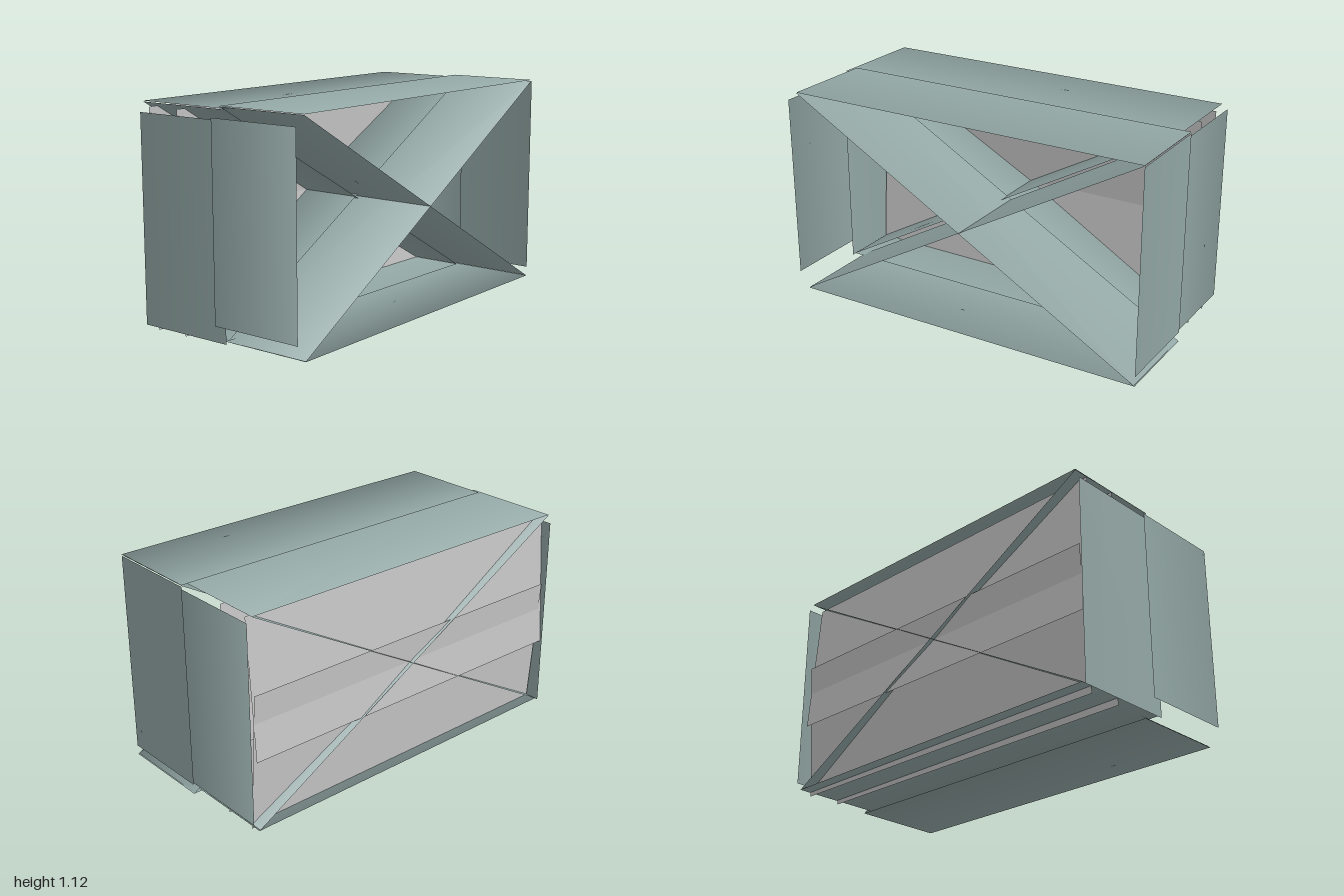
import * as THREE from 'three';

const sheetTeal = new THREE.MeshStandardMaterial({ color: 0x92a7a5, side: THREE.DoubleSide });
sheetTeal.name = 'sheetTeal';
const panelGrey = new THREE.MeshStandardMaterial({ color: 0xc6c6c6, side: THREE.DoubleSide });
panelGrey.name = 'panelGrey';

// A flat sheet running in depth from zIn to zOut above the line a-b.
// Its normals lean towards the outer edge for a soft rolled look.
function depthSheet(name, a, b, zIn, zOut) {
  const out = Math.sign(zOut - zIn);
  const n = new THREE.Vector3(a[1] - b[1], b[0] - a[0], 0).normalize();
  const lean = n.clone().add(new THREE.Vector3(0, 0, out)).normalize();
  const geo = new THREE.BufferGeometry();
  geo.setAttribute('position', new THREE.Float32BufferAttribute(
    [...a, zIn, ...b, zIn, ...b, zOut, ...a, zOut], 3));
  geo.setAttribute('normal', new THREE.Float32BufferAttribute(
    [n, n, lean, lean].flatMap(v => v.toArray()), 3));
  geo.setIndex(out > 0 ? [0, 2, 1, 0, 3, 2] : [0, 1, 2, 0, 2, 3]);
  const mesh = new THREE.Mesh(geo, sheetTeal);
  mesh.name = name;
  return mesh;
}

// A wide panel that leans slightly in depth between two heights.
function crossPanel(name, x0, x1, y0, z0, y1, z1) {
  const geo = new THREE.BufferGeometry();
  geo.setAttribute('position', new THREE.Float32BufferAttribute(
    [x0, y0, z0, x1, y0, z0, x1, y1, z1, x0, y1, z1], 3));
  geo.setIndex([0, 1, 2, 0, 2, 3]);
  geo.computeVertexNormals();
  const mesh = new THREE.Mesh(geo, panelGrey);
  mesh.name = name;
  return mesh;
}

// One half of the box: four walls and two crossing diagonals.
function cell(name, zIn, zOut, sheets) {
  const group = new THREE.Group();
  group.name = name;
  for (const [part, a, b] of sheets) group.add(depthSheet(part, a, b, zIn, zOut));
  return group;
}

export function createModel() {
  const model = new THREE.Group();
  model.name = 'boxKite';

  // front half
  model.add(cell('frontCell', -0.015, 0.485, [
    ['topSheet', [-0.945, 1.118], [0.995, 1.118]],
    ['bottomSheet', [0.995, 0.015], [-0.945, 0.015]],
    ['leftSheet', [0.995, 1.11], [0.995, 0.065]],
    ['rightSheet', [-1, 0.1], [-1, 1.07]],
    ['fallingDiagonal', [-0.945, 1.115], [0.99, 0.017]],
    ['risingDiagonal', [-0.945, 0.017], [0.99, 1.112]],
  ]));

  // rear half, slightly smaller and overlapping the front one
  model.add(cell('rearCell', 0.045, -0.485, [
    ['topSheet', [-0.97, 1.112], [0.955, 1.112]],
    ['bottomSheet', [0.955, 0.022], [-0.97, 0.035]],
    ['leftSheet', [0.985, 1.09], [0.985, 0.065]],
    ['rightSheet', [-0.99, 0.02], [-0.99, 1.06]],
    ['fallingDiagonal', [-0.97, 1.108], [0.95, 0.024]],
    ['risingDiagonal', [-0.97, 0.036], [0.95, 1.108]],
  ]));

  // two pairs of panels crossing at mid height
  for (const z of [-0.24, -0.42]) {
    const pair = new THREE.Group();
    pair.name = 'crossPanels';
    pair.add(crossPanel('lowerPanel', -0.97, 0.95, 0, z, 0.72, z - 0.052));
    pair.add(crossPanel('upperPanel', -0.988, 0.95, 0.38, z - 0.055, 1.09, z - 0.004));
    model.add(pair);
  }
  return model;
}
